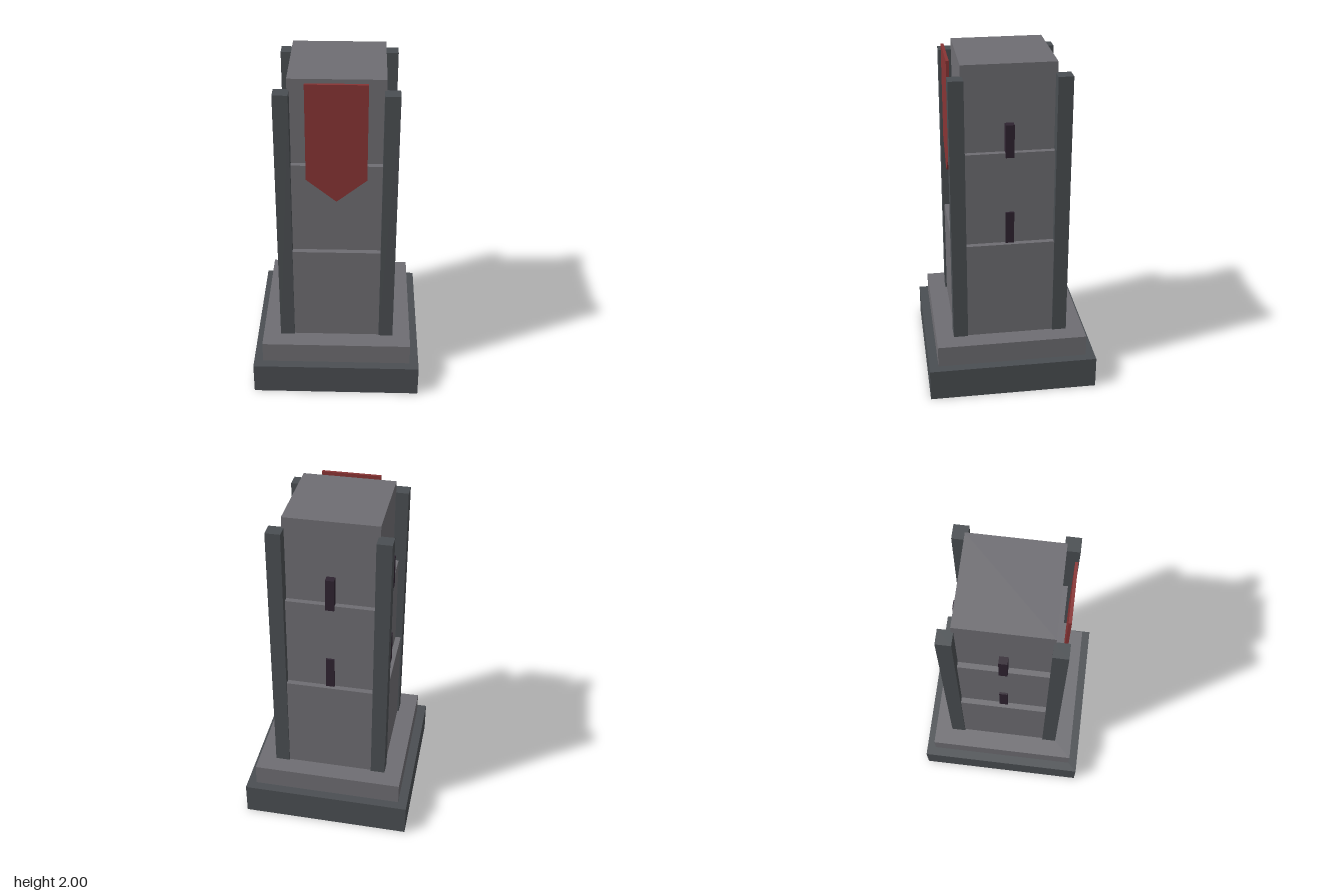
import * as THREE from 'three';

export function createModel() {
  const mat = (name, color) => {
    const m = new THREE.MeshStandardMaterial({ color });
    m.name = name;
    return m;
  };
  const stone = mat('stone', 0x6e6d72);
  const darkStone = mat('darkStone', 0x4a4e52);
  const shadow = mat('windowDark', 0x2e2330);
  const cloth = mat('redCloth', 0x883434);

  const tower = new THREE.Group();
  tower.name = 'tower';

  // Box given by its size, bottom and top heights, and centre
  const block = (name, material, w, d, y0, y1, x = 0, z = 0, parent = tower) => {
    const mesh = new THREE.Mesh(new THREE.BoxGeometry(w, y1 - y0, d), material);
    mesh.name = name;
    mesh.position.set(x, (y0 + y1) / 2, z);
    parent.add(mesh);
    return mesh;
  };

  // Stepped base
  block('plinth', darkStone, 1.01, 1.01, 0, 0.195);
  block('step', stone, 0.9, 0.9, 0.195, 0.325);

  // Three tiers, each narrower than the one below
  block('lowerTier', stone, 0.67, 0.67, 0.325, 0.93);
  block('middleTier', stone, 0.604, 0.604, 0.93, 1.49);
  block('upperTier', stone, 0.54, 0.54, 1.49, 2);

  // Corner pillars
  for (const x of [-0.301, 0.301])
    for (const z of [-0.301, 0.301])
      block('cornerPillar', darkStone, 0.086, 0.086, 0.325, 1.935, x, z);

  // Two window slits on the left, back and right sides
  for (const [side, turn] of [['left', 1], ['back', 2], ['right', 3]]) {
    const wall = new THREE.Group();
    wall.name = side + 'Windows';
    wall.rotation.y = turn * Math.PI / 2;
    for (const y of [0.93, 1.465])
      block('windowSlit', shadow, 0.05, 0.052, y, y + 0.195, 0, 0.288, wall);
    tower.add(wall);
  }

  // Pointed banner hanging in front of the upper tiers
  const outline = new THREE.Shape([
    [-0.172, 1.997], [-0.172, 1.42], [0, 1.28], [0.172, 1.42], [0.172, 1.997],
  ].map(([x, y]) => new THREE.Vector2(x, y)));
  const banner = new THREE.Mesh(
    new THREE.ExtrudeGeometry(outline, { depth: 0.017, bevelEnabled: false }), cloth);
  banner.name = 'banner';
  banner.position.z = 0.319;
  tower.add(banner);

  return tower;
}
